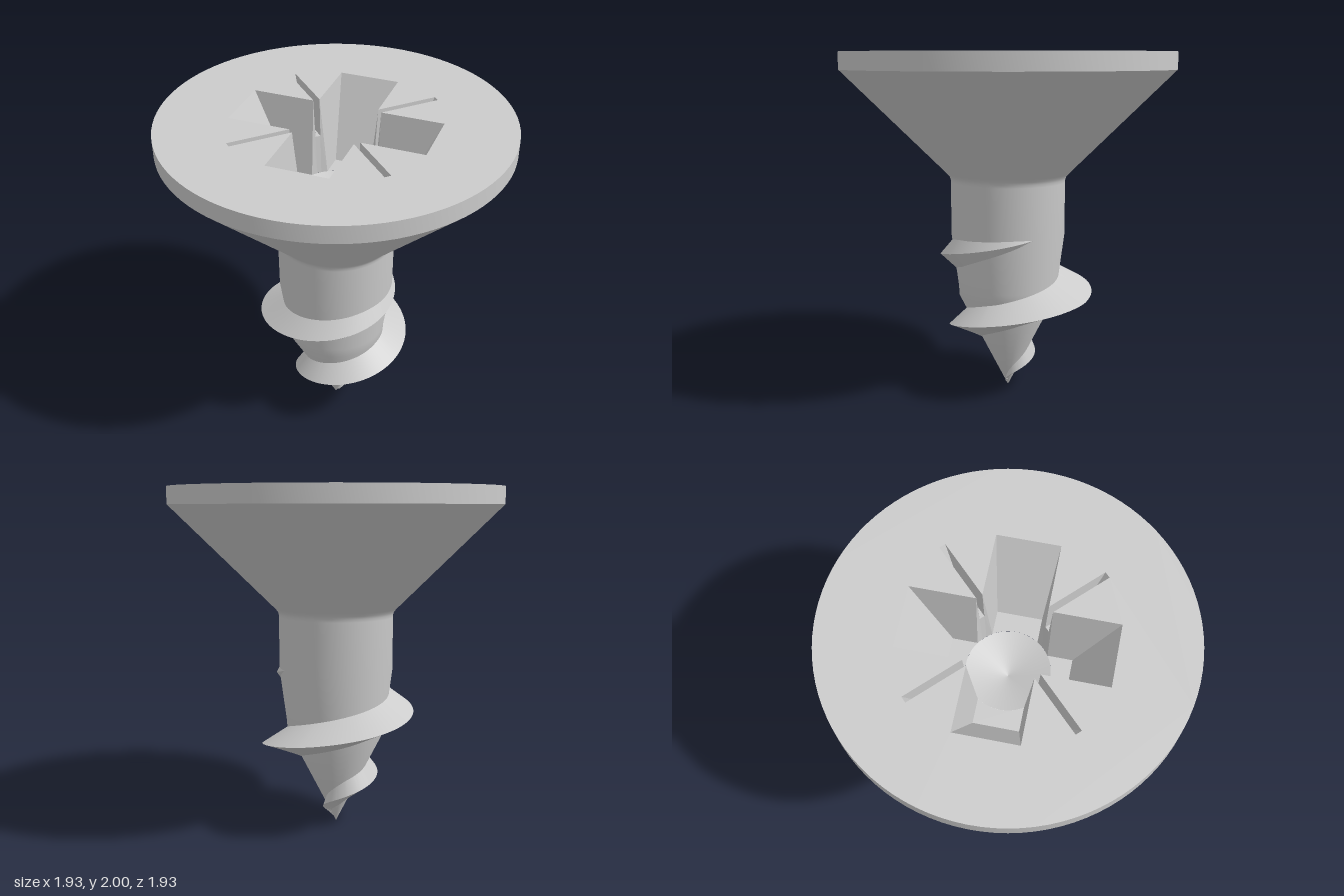
import * as THREE from 'three';
import { toCreasedNormals } from 'three/addons/utils/BufferGeometryUtils.js';

const RADIUS = 0.965, TOP = 2, DEPTH = 0.45, SLOT_DEPTH = 0.22, HOLE = 0.23;
const lerp = THREE.MathUtils.lerp;

// Surface through rows of equally long point lists
function loft(rows, closed) {
  const n = rows[0].length, index = [];
  for (let i = 0; i < rows.length - 1; i++) {
    for (let j = 0; j < (closed ? n : n - 1); j++) {
      const k = (j + 1) % n;
      const a = i * n + j, b = i * n + k, c = a + n, d = b + n;
      index.push(a, b, c, b, d, c);
    }
  }
  const geo = new THREE.BufferGeometry();
  geo.setAttribute('position', new THREE.Float32BufferAttribute(rows.flat(2), 3));
  geo.setIndex(index);
  return geo;
}

// Cross outline with a narrow diagonal slot in each inner corner.
// t runs from 0 at the top to 1 at the recess floor.
function crossOutline(t, slotEnd) {
  const L = lerp(0.545, 0.33, t), w = lerp(0.17, 0.125, t), i = lerp(0.197, 0.193, t);
  const rIn = lerp(0.258, HOLE, t), s = lerp(0.018, 0.012, t);
  const rOut = slotEnd ?? rIn, q = Math.SQRT1_2;
  const diag = (r, side) => [(r + side) * q, (r - side) * q];
  const quarter = [[L, w], [i, w], diag(rIn, s), diag(rOut, s),
    diag(rOut, -s), diag(rIn, -s), [w, i], [w, L]];
  const points = [];
  for (let k = 0; k < 4; k++) {
    const c = [1, 0, -1, 0][k], sn = [0, 1, 0, -1][k];
    for (const [x, y] of quarter) points.push([x * c - y * sn, x * sn + y * c]);
  }
  return points;
}

// Radius of the solid core at height y
function coreRadius(y) {
  if (y < 0.57) return Math.max(0, 0.51 * y);
  return Math.min(0.335, lerp(0.29, 0.335, (y - 0.57) / 0.37));
}

export function createModel() {
  const model = new THREE.Group();
  const material = new THREE.MeshStandardMaterial({ color: 0xcccccc });
  const thin = new THREE.MeshStandardMaterial({ color: 0xcccccc, side: THREE.DoubleSide });
  const add = (name, geo, mat = material) => {
    const mesh = new THREE.Mesh(geo, mat);
    mesh.name = name;
    model.add(mesh);
    return mesh;
  };

  // Pointed core, shank and countersunk head side
  const profile = [[0, 0], [0.29, 0.57], [0.294, 0.63], [0.335, 0.94], [0.335, 1.25],
    [0.337, 1.268], [0.344, 1.284], [0.358, 1.3], [RADIUS, 1.9], [RADIUS, TOP]]
    .map(([x, y]) => new THREE.Vector2(x, y));
  add('body', toCreasedNormals(new THREE.LatheGeometry(profile, 96), 0.42));

  // Flat top of the head, open over the recess
  const face = new THREE.Shape().absarc(0, 0, RADIUS, 0, Math.PI * 2);
  const rim = crossOutline(0, 0.605);
  face.holes.push(new THREE.Path(rim.map(([x, y]) => new THREE.Vector2(x, y))));
  add('headTop', new THREE.ShapeGeometry(face, 48).rotateX(-Math.PI / 2).translate(0, TOP, 0));

  // Tapered recess walls; the diagonal slots end part-way down
  const mid = SLOT_DEPTH / DEPTH;
  const levels = [[rim, 0], [crossOutline(mid, 0.5), SLOT_DEPTH],
    [crossOutline(mid), SLOT_DEPTH], [crossOutline(1), DEPTH]];
  const rows = levels.map(([pts, d]) => pts.map(([x, y]) => [x, TOP - d, -y]));
  const walls = loft(rows, true).toNonIndexed();
  walls.computeVertexNormals();
  add('recessWalls', walls, thin);

  // Flat floor of each arm, cut round by the central hole
  const angle = Math.asin(0.125 / HOLE);
  const floor = new THREE.Shape();
  floor.moveTo(0.33, -0.125);
  floor.lineTo(0.33, 0.125);
  floor.absarc(0, 0, HOLE, angle, -angle, true);
  for (let k = 0; k < 4; k++) {
    const geo = new THREE.ShapeGeometry(floor, 12).rotateX(-Math.PI / 2);
    add('recessFloor', geo.rotateY(k * Math.PI / 2).translate(0, TOP - DEPTH, 0));
  }

  // Shallow conical bottom of the central hole
  const bottom = [new THREE.Vector2(0, TOP - DEPTH - 0.08), new THREE.Vector2(HOLE, TOP - DEPTH)];
  add('recessBottom', new THREE.LatheGeometry(bottom, 48), thin);

  // Sharp thread winding down the core, fading out at both ends
  const steps = 260, sections = [];
  for (let i = 0; i <= steps; i++) {
    const y = lerp(0.99, 0.03, i / steps);
    const turn = (0.895 - y) / 0.425 * Math.PI * 2;
    const h = Math.min(0.1, 0.5 * y, (1.02 - y) * 0.6);
    const crest = Math.min(0.88 * y, 0.5, 0.5 - (y - 0.62) * 0.5);
    const root = (v) => Math.max(0, coreRadius(v) - 0.015);
    // lower root, crest, upper root
    sections.push([[root(y - h), y - h], [crest, y], [root(y + h), y + h]]
      .map(([r, v]) => [r * Math.cos(turn), v, r * Math.sin(turn)]));
  }
  add('thread', toCreasedNormals(loft(sections, false), 0.6), thin);

  return model;
}
